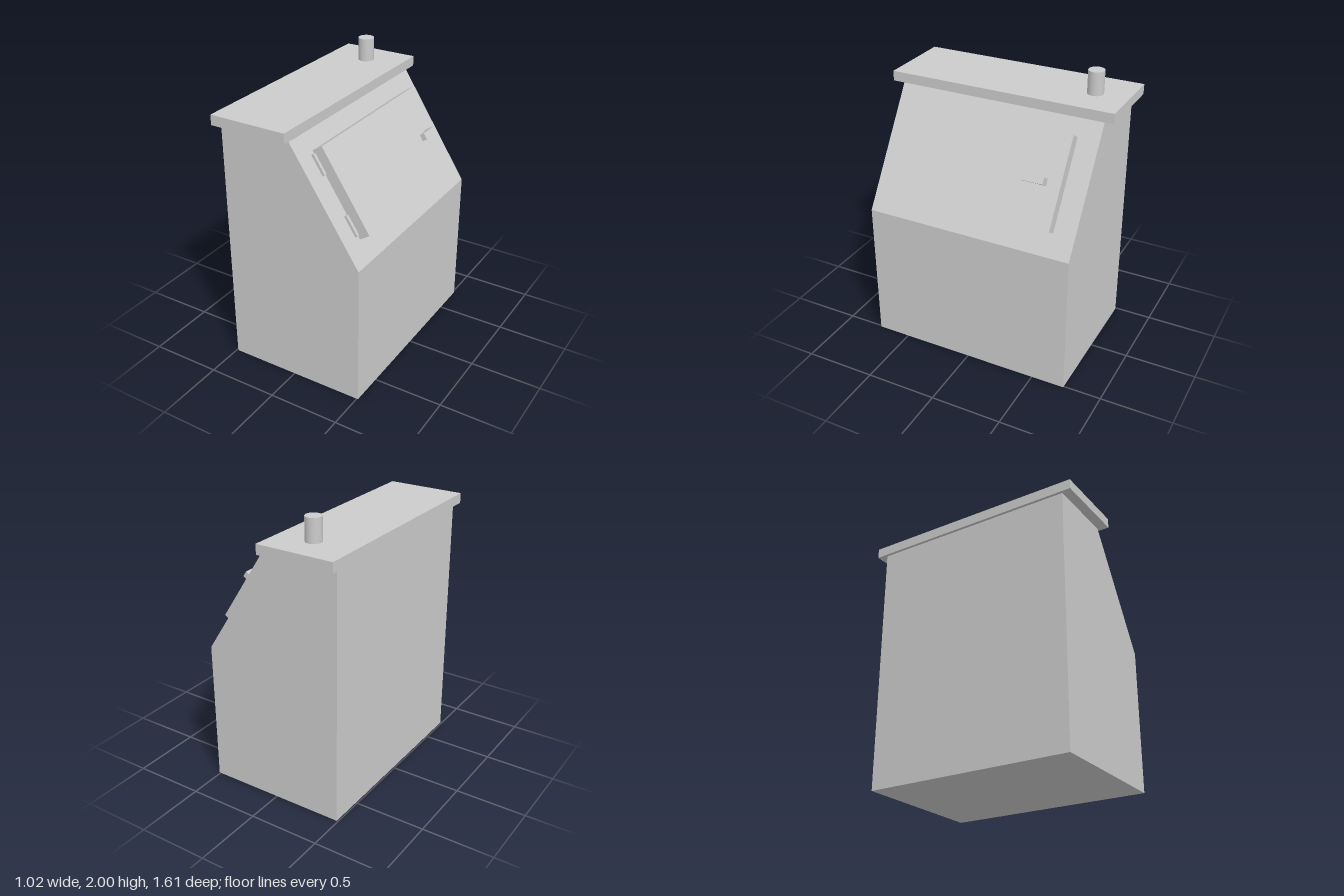
import * as THREE from 'three';

const material = new THREE.MeshStandardMaterial({ color: 0xcccccc });

function add(parent, name, geometry, x = 0, y = 0, z = 0) {
  const mesh = new THREE.Mesh(geometry, material);
  mesh.name = name;
  mesh.position.set(x, y, z);
  parent.add(mesh);
  return mesh;
}

// Box given by its lower and upper limits on each axis
function addBox(parent, name, [x0, x1], [y0, y1], [z0, z1]) {
  return add(parent, name, new THREE.BoxGeometry(x1 - x0, y1 - y0, z1 - z0),
    (x0 + x1) / 2, (y0 + y1) / 2, (z0 + z1) / 2);
}

export function createModel() {
  const model = new THREE.Group();
  model.name = 'stoveCabinet';

  // Cabinet body with a sloping side
  const profile = new THREE.Shape([
    [-0.49, 0], [0.51, 0], [0.51, 1.0], [0.01, 1.77], [-0.49, 1.77],
  ].map(([x, y]) => new THREE.Vector2(x, y)));
  const body = new THREE.ExtrudeGeometry(profile, { depth: 1.47, bevelEnabled: false });
  add(model, 'body', body, 0, 0, -0.735);

  // Overhanging top plate and its pipe
  addBox(model, 'topPlate', [-0.51, 0.04], [1.77, 1.84], [-0.805, 0.805]);
  add(model, 'pipe', new THREE.CylinderGeometry(0.055, 0.055, 0.16, 32), -0.22, 1.92, -0.575);

  // Door assembly: local x points out of the slope, local y up along it
  const door = new THREE.Group();
  door.name = 'door';
  door.position.set(0.093, 1.66, 0);
  door.rotation.z = Math.atan2(0.5, 0.77);
  model.add(door);
  addBox(door, 'doorPanel', [0, 0.08], [-0.623, 0], [-0.59, 0.59]);

  // Hinges along one door edge
  for (const top of [-0.02, -0.45]) {
    addBox(door, 'hinge', [-0.015, 0.01], [top - 0.147, top], [0.57, 0.61]);
  }

  // L-shaped handle
  addBox(door, 'handleStem', [0.078, 0.11], [-0.348, -0.301], [-0.495, -0.455]);
  addBox(door, 'handleBar', [0.11, 0.147], [-0.348, -0.301], [-0.495, -0.34]);

  return model;
}
